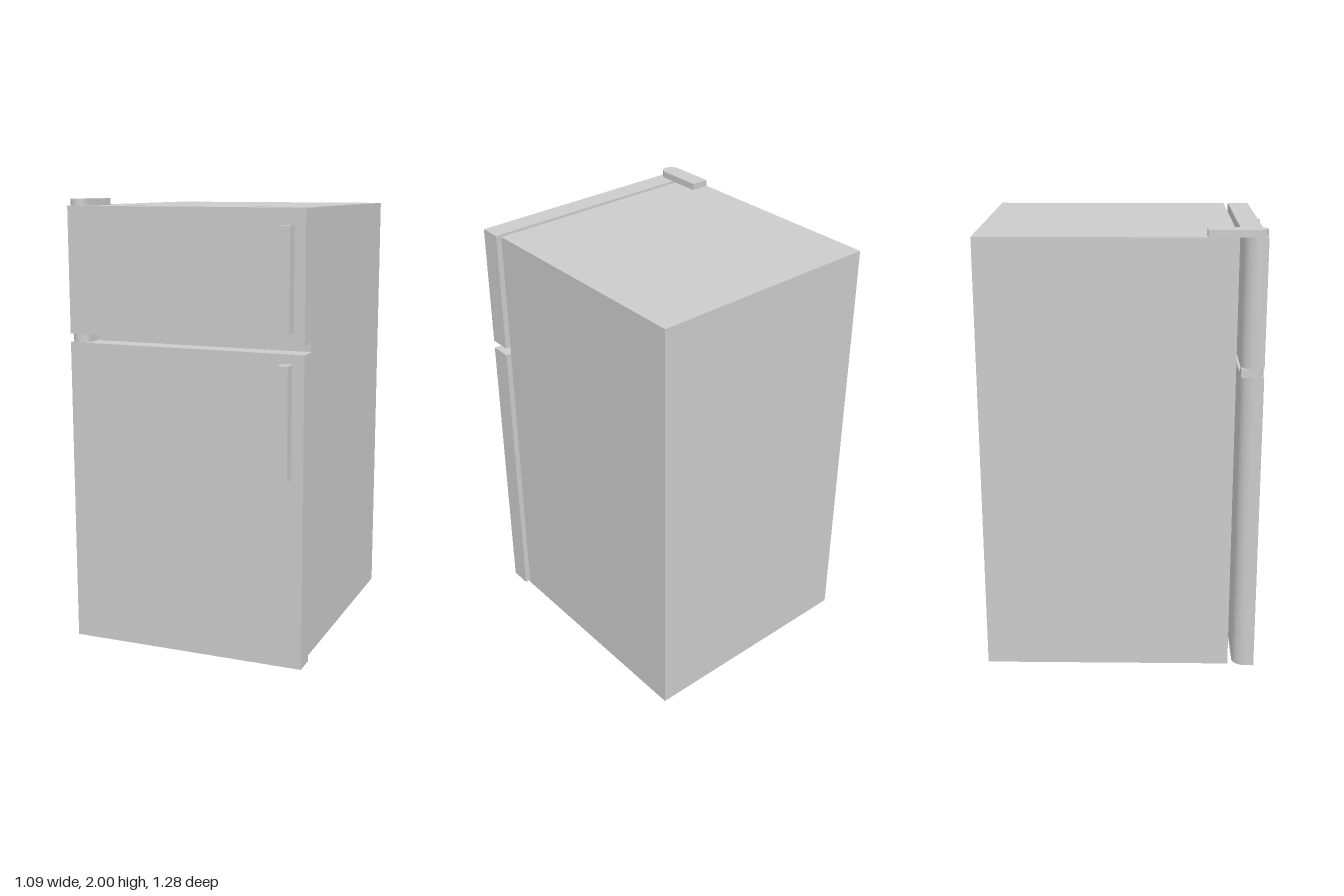
import * as THREE from 'three';
import { toCreasedNormals } from 'three/addons/utils/BufferGeometryUtils.js';

const material = new THREE.MeshStandardMaterial({ color: 0xcccccc });

// Box given by its minimum and maximum corners
function box(name, [x0, y0, z0], [x1, y1, z1]) {
  const mesh = new THREE.Mesh(new THREE.BoxGeometry(x1 - x0, y1 - y0, z1 - z0), material);
  mesh.name = name;
  mesh.position.set((x0 + x1) / 2, (y0 + y1) / 2, (z0 + z1) / 2);
  return mesh;
}

// Plan outline (shape y is -z) raised from y0 to y1
function slab(name, shape, y0, y1) {
  const geometry = new THREE.ExtrudeGeometry(shape, { depth: y1 - y0, bevelEnabled: false, curveSegments: 12 });
  geometry.rotateX(-Math.PI / 2);
  const mesh = new THREE.Mesh(toCreasedNormals(geometry, 0.6), material);
  mesh.name = name;
  mesh.position.y = y0;
  return mesh;
}

const LEFT = -0.545, RIGHT = 0.545, BACK = 0.485, FRONT = 0.583;

// Door outline: square except for the rounded back corner on the hinge side
function doorShape() {
  const r = 0.058;
  const s = new THREE.Shape();
  s.moveTo(LEFT, -FRONT);
  s.lineTo(RIGHT, -FRONT);
  s.lineTo(RIGHT, -BACK);
  s.lineTo(LEFT + r, -BACK);
  s.absarc(LEFT + r, -BACK - r, r, Math.PI / 2, Math.PI, false);
  s.closePath();
  return s;
}

// Hinge plate outline: straight at the back, half round at the front
function hingeShape(back) {
  const r = 0.0405;
  const s = new THREE.Shape();
  s.moveTo(LEFT + 2 * r, -back);
  s.lineTo(LEFT, -back);
  s.lineTo(LEFT, -FRONT + r);
  s.absarc(LEFT + r, -FRONT + r, r, Math.PI, 2 * Math.PI, false);
  s.closePath();
  return s;
}

export function createModel() {
  const group = new THREE.Group();
  group.name = 'refrigerator';

  group.add(box('cabinet', [-0.548, 0.01, -0.638], [0.533, 1.97, 0.463]));

  // Doors
  group.add(slab('lowerDoor', doorShape(), 0, 1.375));
  group.add(slab('freezerDoor', doorShape(), 1.412, 1.97));

  // Hinges
  group.add(slab('middleHinge', hingeShape(BACK), 1.375, 1.412));
  group.add(slab('topHinge', hingeShape(0.333), 1.97, 2));

  // Handles
  group.add(box('lowerHandle', [0.444, 0.847, FRONT], [0.492, 1.333, 0.638]));
  group.add(box('freezerHandle', [0.437, 1.466, FRONT], [0.497, 1.9, 0.638]));

  return group;
}
